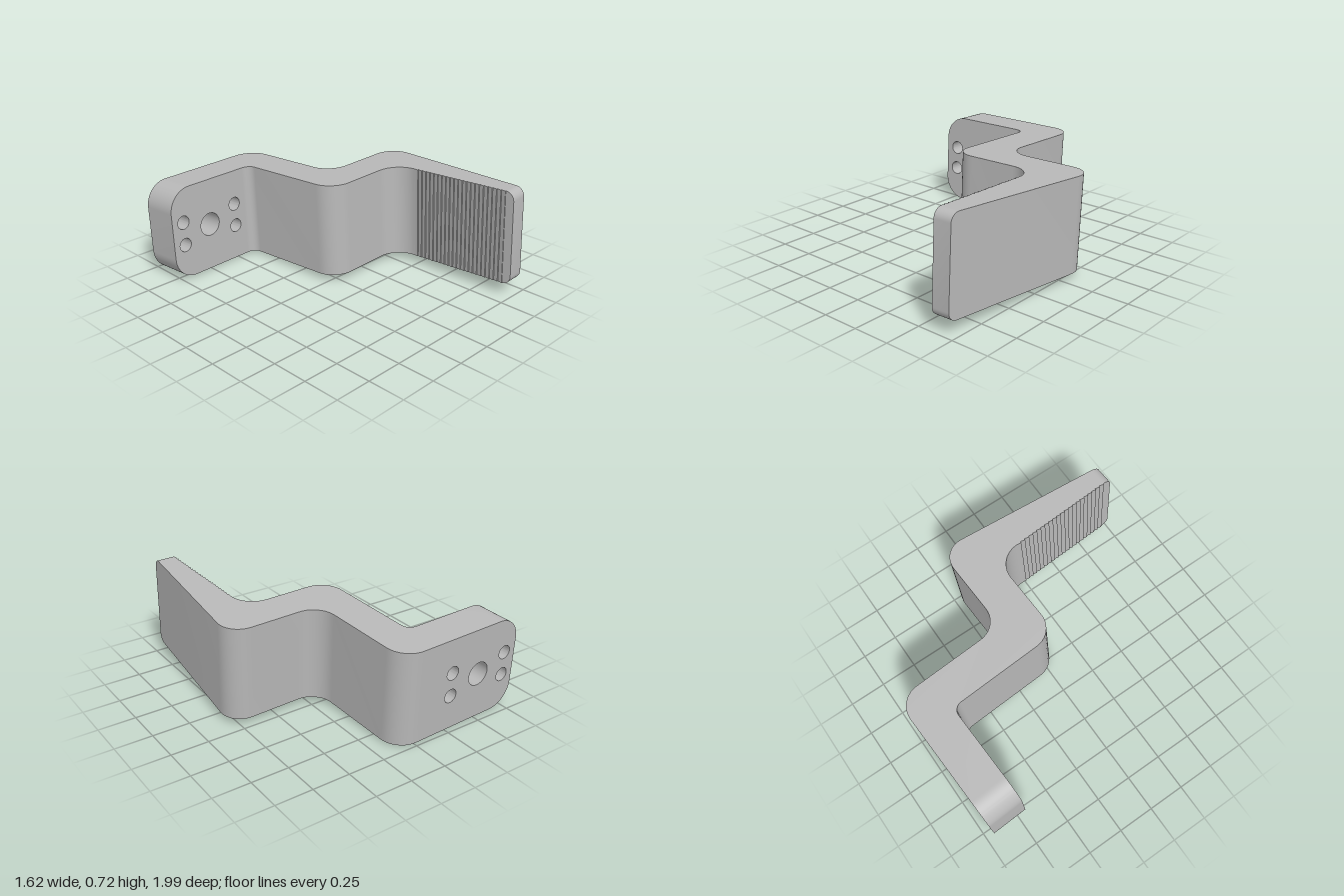
import * as THREE from 'three';
import { toCreasedNormals } from 'three/addons/utils/BufferGeometryUtils.js';

const H = 0.635;        // height of the bar
const SPLIT_X = -0.14;  // where the drilled plate meets the bent bar
const SPLIT_Z = 0.928;  // where the rounded tip begins
const END_Z = 0.988;
const GRIP_X = 0.556;   // inner face of the tapered arm

const outerX = (z) => 0.804 - 0.134 * (z - 0.032);

// Closed shape from [x, y, radius] corners; radius rounds the corner
function roundedShape(corners) {
  const shape = new THREE.Shape();
  const n = corners.length;
  corners.forEach(([x, y, r = 0], i) => {
    const p = new THREE.Vector2(x, y);
    const a = new THREE.Vector2(...corners[(i + n - 1) % n].slice(0, 2)).sub(p).normalize();
    const b = new THREE.Vector2(...corners[(i + 1) % n].slice(0, 2)).sub(p).normalize();
    const t = r ? r / Math.tan(Math.acos(a.dot(b)) / 2) : 0;
    const at = (d, s) => p.clone().addScaledVector(d, s);
    const start = at(a, t);
    if (i === 0) shape.moveTo(start.x, start.y);
    else shape.lineTo(start.x, start.y);
    if (r) {
      const c1 = at(a, t * 0.448), c2 = at(b, t * 0.448), end = at(b, t);
      shape.bezierCurveTo(c1.x, c1.y, c2.x, c2.y, end.x, end.y);
    }
  });
  return shape;
}

const extrude = (shape, depth, curveSegments) =>
  new THREE.ExtrudeGeometry(shape, { depth, curveSegments, bevelEnabled: false });

// Flat plate with rounded outer corners and five through holes
function plateGeometry() {
  const shape = roundedShape([
    [-0.771, 0, 0.16], [SPLIT_X, 0], [SPLIT_X, H], [-0.771, H, 0.16],
  ]);
  const holes = [[-0.46, H / 2, 0.08]];
  for (const x of [-0.68, -0.235]) {
    for (const dy of [-0.08, 0.08]) holes.push([x, H / 2 + dy, 0.047]);
  }
  for (const [x, y, r] of holes) {
    shape.holes.push(new THREE.Path().absarc(x, y, r, 0, Math.PI * 2, true));
  }
  return extrude(shape, 0.249, 24).translate(0, 0, -1);
}

// Stepped bar seen from above, with fine ridges along the inner arm face
function barGeometry() {
  const plan = [
    [SPLIT_X, -0.751], [SPLIT_X, -1],
    [0.174, -1, 0.15], [0.174, -0.21, 0.15], [0.833, -0.21, 0.14],
    [outerX(SPLIT_Z), SPLIT_Z],
  ];
  const teeth = 22, z0 = 0.21, pitch = (SPLIT_Z - z0) / teeth;
  for (let i = 0; i < teeth; i++) {
    const z = SPLIT_Z - i * pitch;
    plan.push([GRIP_X + 0.004, z], [GRIP_X - 0.005, z]);
  }
  plan.push(
    [GRIP_X, z0], [GRIP_X, 0.044, 0.16], [-0.078, 0.044, 0.15], [-0.078, -0.751, 0.06],
  );
  const shape = roundedShape(plan.map(([x, z, r]) => [x, -z, r]));
  return extrude(shape, H, 10).rotateX(-Math.PI / 2);
}

// End of the arm: rounded at top and bottom, tapering in thickness
function tipGeometry() {
  const shape = roundedShape([
    [SPLIT_Z, 0], [END_Z, 0, 0.0595], [END_Z, H, 0.0595], [SPLIT_Z, H],
  ]);
  const geo = extrude(shape, 1, 8).rotateY(-Math.PI / 2);
  const pos = geo.attributes.position;
  for (let i = 0; i < pos.count; i++) {
    pos.setX(i, pos.getX(i) > -0.5 ? outerX(pos.getZ(i)) : GRIP_X);
  }
  return geo;
}

export function createModel() {
  const grey = new THREE.MeshStandardMaterial({ color: 0xb8b8b8 });
  grey.name = 'plain grey';

  const bracket = new THREE.Group();
  bracket.name = 'bracket';
  const parts = {
    mountingPlate: plateGeometry(),
    steppedBar: barGeometry(),
    armTip: tipGeometry(),
  };
  for (const [name, geo] of Object.entries(parts)) {
    const mesh = new THREE.Mesh(toCreasedNormals(geo, 0.4), grey);
    mesh.name = name;
    bracket.add(mesh);
  }
  // The whole bracket sits slightly turned and tilted
  bracket.rotation.set(-0.045, 0.04, 0);
  bracket.position.set(0, 0.044, 0.0286);

  const model = new THREE.Group();
  model.name = 'steppedBracket';
  model.add(bracket);
  return model;
}
